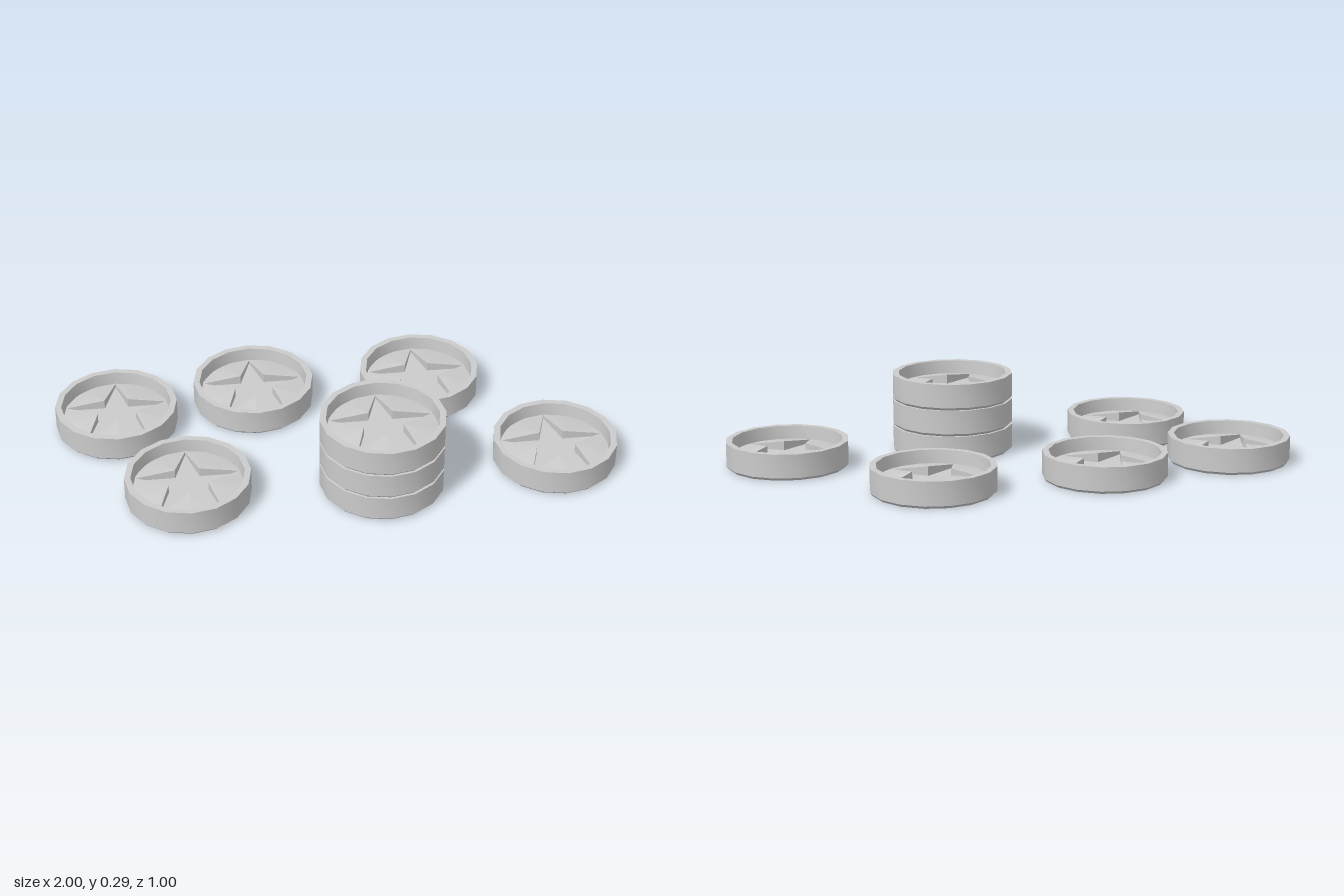
import * as THREE from 'three';
import { toCreasedNormals } from 'three/addons/utils/BufferGeometryUtils.js';

const RADIUS = 0.2225, HEIGHT = 0.0967, SIDES = 16;
const FLOOR = 0.036;                       // level of the sunken star
const EDGE = 0.048, PEAK = 0.07;           // plate heights at the rim and at the star's notches
const TIP_R = 0.19, NOTCH_R = 0.073, RIM_R = 0.196;

// Disc with a bevelled foot and a raised rim around a recess
function bodyGeometry() {
  const profile = [
    [0, 0], [0.213, 0], [RADIUS, 0.01], [RADIUS, HEIGHT],
    [0.2, HEIGHT], [0.195, FLOOR], [0, FLOOR],
  ].map(([r, y]) => new THREE.Vector2(r, y));
  return toCreasedNormals(new THREE.LatheGeometry(profile, SIDES), 0.6);
}

// Five raised plates that leave a sunken five-pointed star between them
function platesGeometry() {
  const pos = [];
  const at = (r, a, y) => [r * Math.sin(a), y, -r * Math.cos(a)];
  const tri = (a, b, c) => pos.push(...a, ...b, ...c);
  const step = Math.PI * 2 / 5, arcSteps = 4;
  for (let k = 0; k < 5; k++) {
    const a0 = k * step, a1 = a0 + step, mid = a0 + step / 2;
    const notch = at(NOTCH_R, mid, PEAK), notchLow = at(NOTCH_R, mid, FLOOR);
    const tip0 = at(TIP_R, a0, EDGE), tip1 = at(TIP_R, a1, EDGE);
    // top surface, fanned from the notch to the rim
    const edge = [tip0];
    for (let i = 0; i <= arcSteps; i++) edge.push(at(RIM_R, a0 + step * i / arcSteps, EDGE));
    edge.push(tip1);
    for (let i = 0; i < edge.length - 1; i++) tri(notch, edge[i + 1], edge[i]);
    // upright walls along both star edges
    const low0 = at(TIP_R, a0, FLOOR), low1 = at(TIP_R, a1, FLOOR);
    tri(notch, tip0, low0); tri(notch, low0, notchLow);
    tri(tip1, notch, notchLow); tri(tip1, notchLow, low1);
  }
  const geo = new THREE.BufferGeometry();
  geo.setAttribute('position', new THREE.Float32BufferAttribute(pos, 3));
  return toCreasedNormals(geo, 0.6);
}

export function createModel() {
  const model = new THREE.Group();
  model.name = 'starCoins';
  const bodyMaterial = new THREE.MeshStandardMaterial({ color: 0xcccccc });
  const plateMaterial = new THREE.MeshStandardMaterial({ color: 0xcccccc, side: THREE.DoubleSide });
  const body = bodyGeometry(), plates = platesGeometry();

  function addCoin(name, x, y, z) {
    const coin = new THREE.Group();
    coin.name = name;
    const disc = new THREE.Mesh(body, bodyMaterial);
    disc.name = 'coinDisc';
    const relief = new THREE.Mesh(plates, plateMaterial);
    relief.name = 'starRelief';
    coin.add(disc, relief);
    coin.position.set(x, y, z);
    model.add(coin);
  }

  // Loose coins lying on the ground
  [[-0.7775, -0.18], [-0.265, -0.2775], [0.36, -0.2775], [-0.543, 0.2725], [0.7775, 0.21]]
    .forEach(([x, z], i) => addCoin(`looseCoin${i + 1}`, x, 0, z));
  // Stack of three
  for (let i = 0; i < 3; i++) addCoin(`stackedCoin${i + 1}`, 0.142, i * HEIGHT, 0.2775);
  return model;
}
